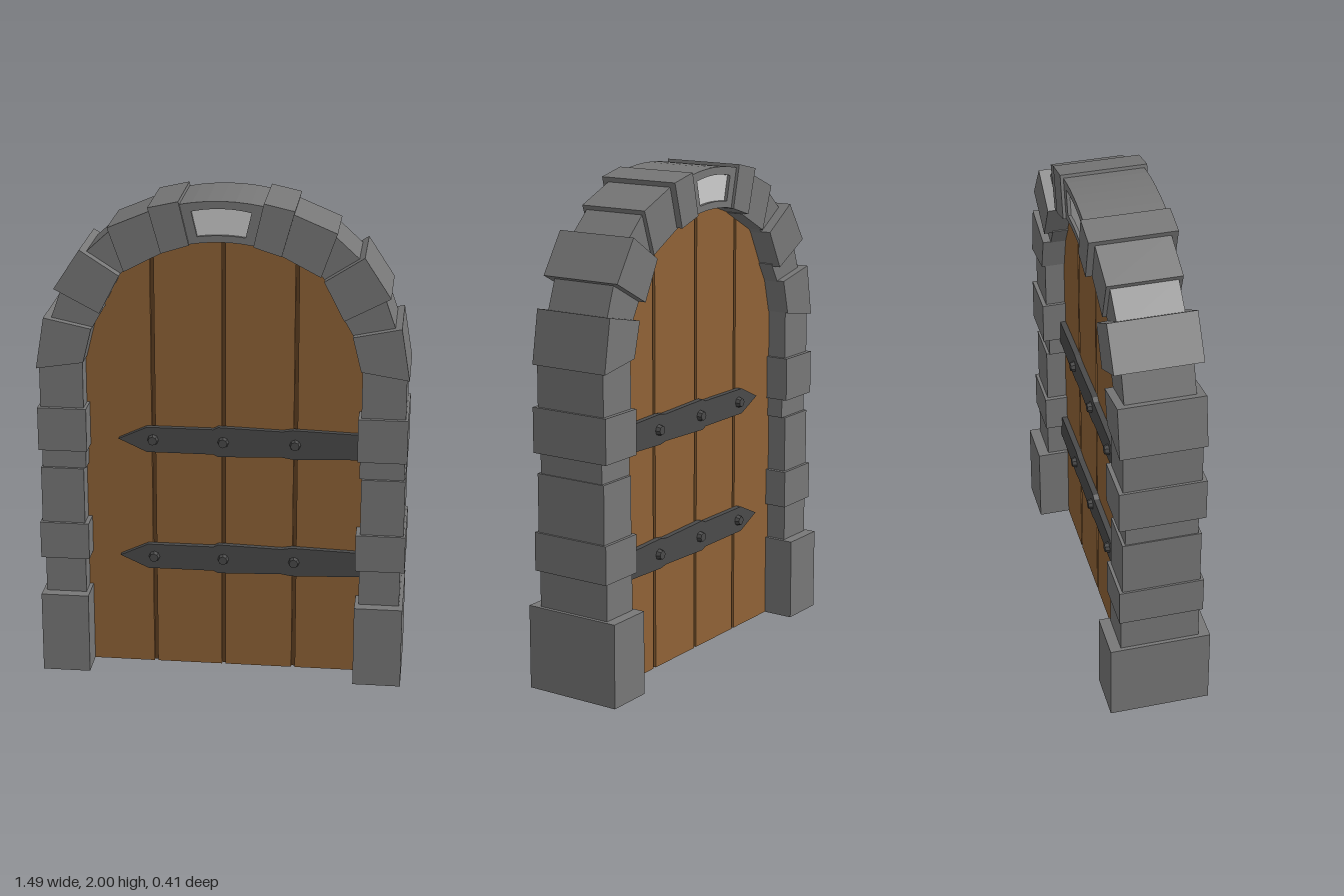
import * as THREE from 'three';

const material = (color) => new THREE.MeshStandardMaterial({ color, flatShading: true });

// Flat outline extruded evenly about z = 0
function slab(points, halfDepth, mat, name, hole) {
  const shape = new THREE.Shape(points.map(([x, y]) => new THREE.Vector2(x, y)));
  if (hole) shape.holes.push(new THREE.Path(hole.map(([x, y]) => new THREE.Vector2(x, y))));
  const geometry = new THREE.ExtrudeGeometry(shape, { depth: halfDepth * 2, bevelEnabled: false });
  geometry.translate(0, 0, -halfDepth);
  const mesh = new THREE.Mesh(geometry, mat);
  mesh.name = name;
  return mesh;
}

// Wedge bounded by two shallow arcs, bulging upward
function arcWedge(topHalf, topY, topRise, bottomHalf, bottomY, bottomRise) {
  const points = [];
  const n = 6;
  for (let i = 0; i <= n; i++) {
    const t = (i / n) * 2 - 1;
    points.push([t * bottomHalf, bottomY + bottomRise * (1 - t * t)]);
  }
  for (let i = n; i >= 0; i--) {
    const t = (i / n) * 2 - 1;
    points.push([t * topHalf, topY + topRise * (1 - t * t)]);
  }
  return points;
}

export function createModel() {
  const model = new THREE.Group();
  model.name = 'archedDoor';
  const stone = material(0x777777);
  const paleStone = material(0xcccccc);
  const wood = material(0x8f6236);
  const darkWood = material(0x5a3c20);
  const iron = material(0x4a4a4a);

  // Jamb blocks: bottom, top, inner x, outer x, half depth
  const jambs = [
    [0, 0.34, 0.545, 0.74, 0.205],
    [0.34, 0.49, 0.56, 0.725, 0.16],
    [0.49, 0.645, 0.543, 0.743, 0.17],
    [0.645, 0.88, 0.56, 0.735, 0.157],
    [0.88, 0.96, 0.552, 0.73, 0.145],
    [0.96, 1.14, 0.543, 0.74, 0.172],
    [1.14, 1.34, 0.555, 0.73, 0.155],
  ];
  // Arch blocks: corners (lower outer, upper outer, upper inner, lower inner), half depth
  const arch = [
    [[[0.74, 1.305], [0.705, 1.515], [0.515, 1.475], [0.55, 1.335]], 0.17],
    [[[0.685, 1.49], [0.635, 1.63], [0.47, 1.55], [0.525, 1.455]], 0.138],
    [[[0.66, 1.635], [0.555, 1.795], [0.4, 1.695], [0.48, 1.54]], 0.172],
    [[[0.56, 1.755], [0.44, 1.865], [0.375, 1.72], [0.42, 1.67]], 0.13],
    [[[0.448, 1.88], [0.27, 1.955], [0.225, 1.79], [0.386, 1.705]], 0.146],
    [[[0.285, 1.97], [0.165, 1.997], [0.125, 1.825], [0.235, 1.79]], 0.172],
  ];
  for (const side of [1, -1]) {
    const half = new THREE.Group();
    half.name = side > 0 ? 'leftStones' : 'rightStones';
    for (const [y0, y1, x0, x1, d] of jambs) {
      const block = new THREE.Mesh(new THREE.BoxGeometry(x1 - x0, y1 - y0, d * 2), stone);
      block.position.set(side * (x0 + x1) / 2, (y0 + y1) / 2, 0);
      block.name = 'jambBlock';
      half.add(block);
    }
    for (const [corners, d] of arch) {
      half.add(slab(corners.map(([x, y]) => [side * x, y]), d, stone, 'archBlock'));
    }
    model.add(half);
  }

  // Keystone with a recessed pale panel showing on both faces
  const panel = arcWedge(0.117, 1.957, 0.013, 0.094, 1.858, 0.007);
  model.add(slab(arcWedge(0.168, 1.983, 0.017, 0.13, 1.826, 0.012), 0.16, stone, 'keystone', panel));
  model.add(slab(panel, 0.147, paleStone, 'keystonePanel'));

  // Planks follow the arch, hidden edges running inside the stones
  const rim = [[-0.62, 1.4], [-0.56, 1.57], [-0.47, 1.69], [-0.33, 1.82], [-0.15, 1.89], [0, 1.9],
    [0.15, 1.89], [0.33, 1.82], [0.47, 1.69], [0.56, 1.57], [0.62, 1.4]];
  const rimY = (x) => {
    const i = Math.max(1, rim.findIndex((p) => p[0] >= x));
    const [a, b] = [rim[i - 1], rim[i]];
    return a[1] + (b[1] - a[1]) * (x - a[0]) / (b[0] - a[0]);
  };
  const plankOutline = (x0, x1) => [
    [x0, 0], [x1, 0], [x1, rimY(x1)],
    ...rim.filter((p) => p[0] > x0 && p[0] < x1).reverse(),
    [x0, rimY(x0)],
  ];
  const door = new THREE.Group();
  door.name = 'door';
  const seams = [-0.285, 0, 0.29];
  const edges = [-0.627, ...seams, 0.627];
  for (let i = 0; i < 4; i++) {
    door.add(slab(plankOutline(edges[i] + 0.0075, edges[i + 1] - 0.0075), 0.075, wood, 'plank'));
  }
  for (const x of seams) {
    door.add(slab(plankOutline(x - 0.01, x + 0.01), 0.06, darkWood, 'plankSeam'));
  }
  model.add(door);

  // Pointed iron straps and rivets on both faces
  const strapTop = [[-0.425, 0], [-0.31, 0.053], [-0.04, 0.053], [-0.02, 0.063],
    [0.24, 0.055], [0.28, 0.062], [0.58, 0.052]];
  const strapOutline = [...strapTop.map(([x, y]) => [x, -y]), ...strapTop.slice(1).reverse()];
  for (const y of [0.485, 0.995]) {
    const hinge = new THREE.Group();
    hinge.name = 'hinge';
    hinge.position.y = y;
    for (const face of [1, -1]) {
      const strap = slab(strapOutline, 0.0125, iron, 'strap');
      strap.position.z = face * 0.0855;
      hinge.add(strap);
      for (const x of seams) {
        const rivet = new THREE.Mesh(new THREE.CylinderGeometry(0.018, 0.024, 0.022, 8), iron);
        rivet.rotation.x = face * Math.PI / 2;
        rivet.position.set(x, 0, face * 0.105);
        rivet.name = 'rivet';
        hinge.add(rivet);
      }
    }
    model.add(hinge);
  }
  return model;
}
